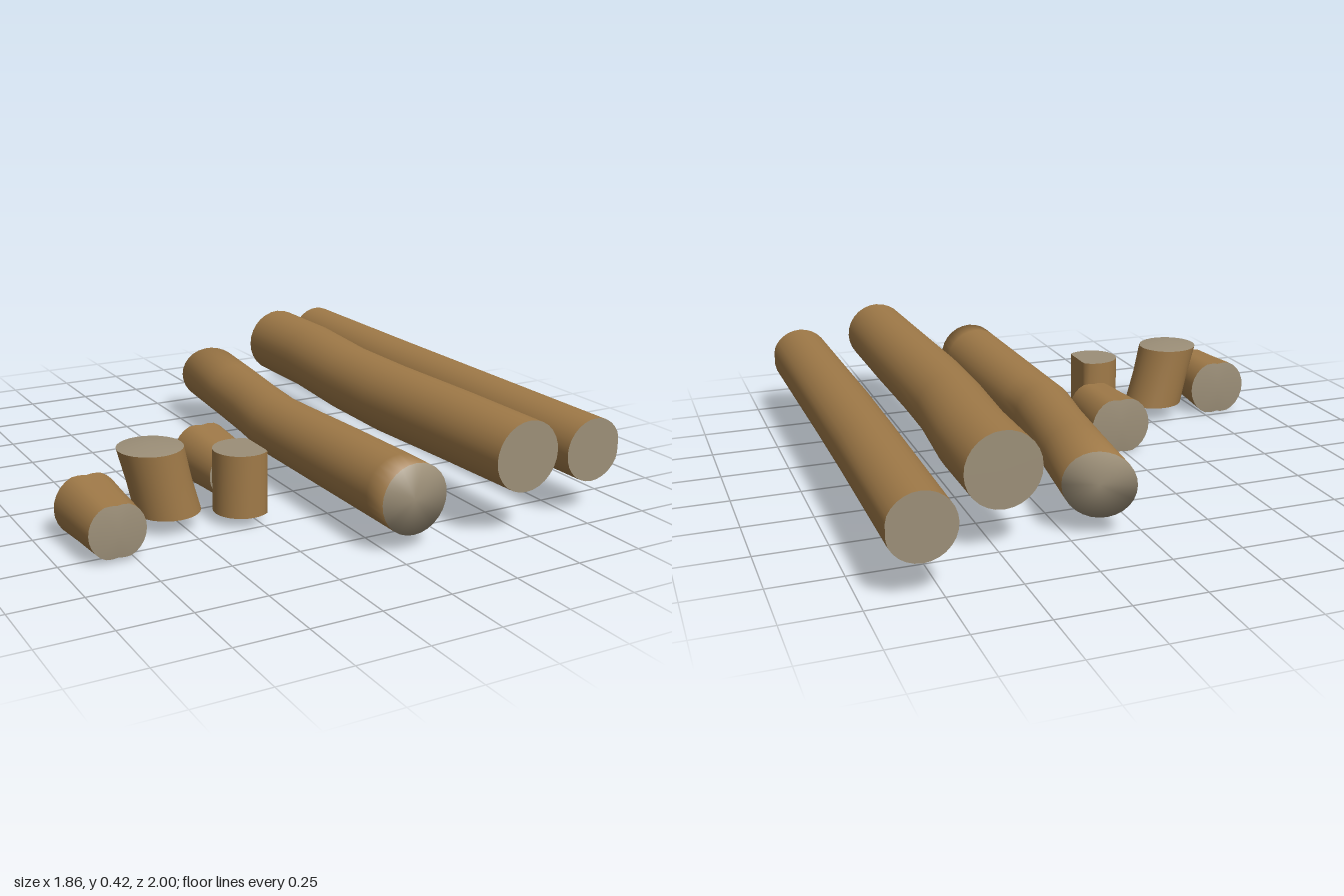
import * as THREE from 'three';

const SEG = 28;

// Cross-section outlines on a unit circle
const round = a => [Math.cos(a), Math.sin(a)];
const flatSide = limit => a => [Math.min(Math.cos(a), limit), Math.sin(a)];
const pinched = a => {
  // shallow grooves along the top and bottom
  const k = 1 - 0.12 * Math.exp(-Math.pow(Math.cos(a) / 0.3, 2));
  return [Math.cos(a) * k, Math.sin(a) * k];
};

// Loft a log through rings [x, y, z, radius, slant], ordered along its axis.
// Group 0 is the bark and group 1 the two sawn ends.
function logGeometry(rings, { outline = round, upright = false, bulge = 0, softEnds = false } = {}) {
  const pos = [], index = [];
  const addRing = ([x, y, z, r, slant = 0]) => {
    const start = pos.length / 3;
    for (let j = 0; j < SEG; j++) {
      const [u, v] = outline((j / SEG) * Math.PI * 2);
      if (upright) pos.push(x + u * r, y + slant * u * r, z - v * r);
      else pos.push(x + u * r, y + v * r, z + slant * u * r);
    }
    return start;
  };
  const starts = rings.map(addRing);
  for (let i = 0; i < rings.length - 1; i++) {
    for (let j = 0; j < SEG; j++) {
      const k = (j + 1) % SEG, s = starts[i], t = starts[i + 1];
      index.push(s + j, s + k, t + k, s + j, t + k, t + j);
    }
  }
  const barkCount = index.length;
  // Sawn ends, sharing the rim when the edge is soft
  [[0, -1], [rings.length - 1, 1]].forEach(([i, dir]) => {
    const s = softEnds ? starts[i] : addRing(rings[i]);
    const c = pos.length / 3;
    const [x, y, z] = rings[i];
    pos.push(x, y + (upright ? dir * bulge : 0), z + (upright ? 0 : dir * bulge));
    for (let j = 0; j < SEG; j++) {
      const k = (j + 1) % SEG;
      if (dir > 0) index.push(c, s + j, s + k);
      else index.push(c, s + k, s + j);
    }
  });
  const g = new THREE.BufferGeometry();
  g.setAttribute('position', new THREE.Float32BufferAttribute(pos, 3));
  g.setIndex(index);
  g.addGroup(0, barkCount, 0);
  g.addGroup(barkCount, index.length - barkCount, 1);
  g.computeVertexNormals();
  return g;
}

export function createModel() {
  const bark = new THREE.MeshStandardMaterial({ color: 0xa07a48 });
  bark.name = 'bark';
  const sawnWood = new THREE.MeshStandardMaterial({ color: 0x9c8f78 });
  sawnWood.name = 'sawnWood';

  const group = new THREE.Group();
  group.name = 'logs';
  const addLog = (name, rings, options) => {
    const mesh = new THREE.Mesh(logGeometry(rings, options), [bark, sawnWood]);
    mesh.name = name;
    group.add(mesh);
    return mesh;
  };

  // Three long logs lying side by side
  addLog('straightLog', [
    [0.816, 0.25, -1, 0.115],
    [0.81, 0.25, -0.3, 0.116],
    [0.809, 0.25, 0.1, 0.117],
    [0.816, 0.25, 0.93, 0.115],
  ], { outline: flatSide(0.95) });

  addLog('thickLog', [
    [0.485, 0.3, -0.77, 0.133],
    [0.485, 0.3, -0.45, 0.133],
    [0.457, 0.295, -0.1, 0.131],
    [0.452, 0.295, 0.2, 0.132],
    [0.463, 0.3, 0.6, 0.129],
    [0.47, 0.303, 1, 0.125],
  ]);

  addLog('bentLog', [
    [0.15, 0.195, -0.748, 0.116, 0.41],
    [0.118, 0.195, -0.45, 0.115, 0.1],
    [0.088, 0.195, -0.2, 0.113],
    [0.06, 0.195, 0.02, 0.116],
    [0.063, 0.195, 0.15, 0.117],
    [0.073, 0.195, 0.5, 0.122],
    [0.08, 0.195, 0.82, 0.125],
    [0.08, 0.195, 0.92, 0.125],
  ], { softEnds: true });

  // Two short grooved logs lying down
  [[-0.812, 0.42, 'leftShortLog'], [-0.235, 0.107, 'middleShortLog']].forEach(([x, z, name]) => {
    const mesh = addLog(name, [
      [0, 0.12, -0.14, 0.118],
      [0, 0.12, 0, 0.108],
      [0, 0.12, 0.137, 0.101],
    ], { outline: pinched, bulge: 0.012 });
    mesh.position.set(x, 0, z);
  });

  // Leaning stump
  addLog('leaningLog', [
    [-0.545, 0.075, 0.345, 0.115],
    [-0.576, 0.195, 0.345, 0.112],
    [-0.605, 0.312, 0.345, 0.115],
  ], { upright: true, bulge: 0.015 });

  // Upright stump with a flat side
  addLog('uprightLog', [
    [-0.29, 0.05, 0.4, 0.1],
    [-0.29, 0.275, 0.4, 0.1],
  ], { upright: true, outline: flatSide(0.65) });

  return group;
}
